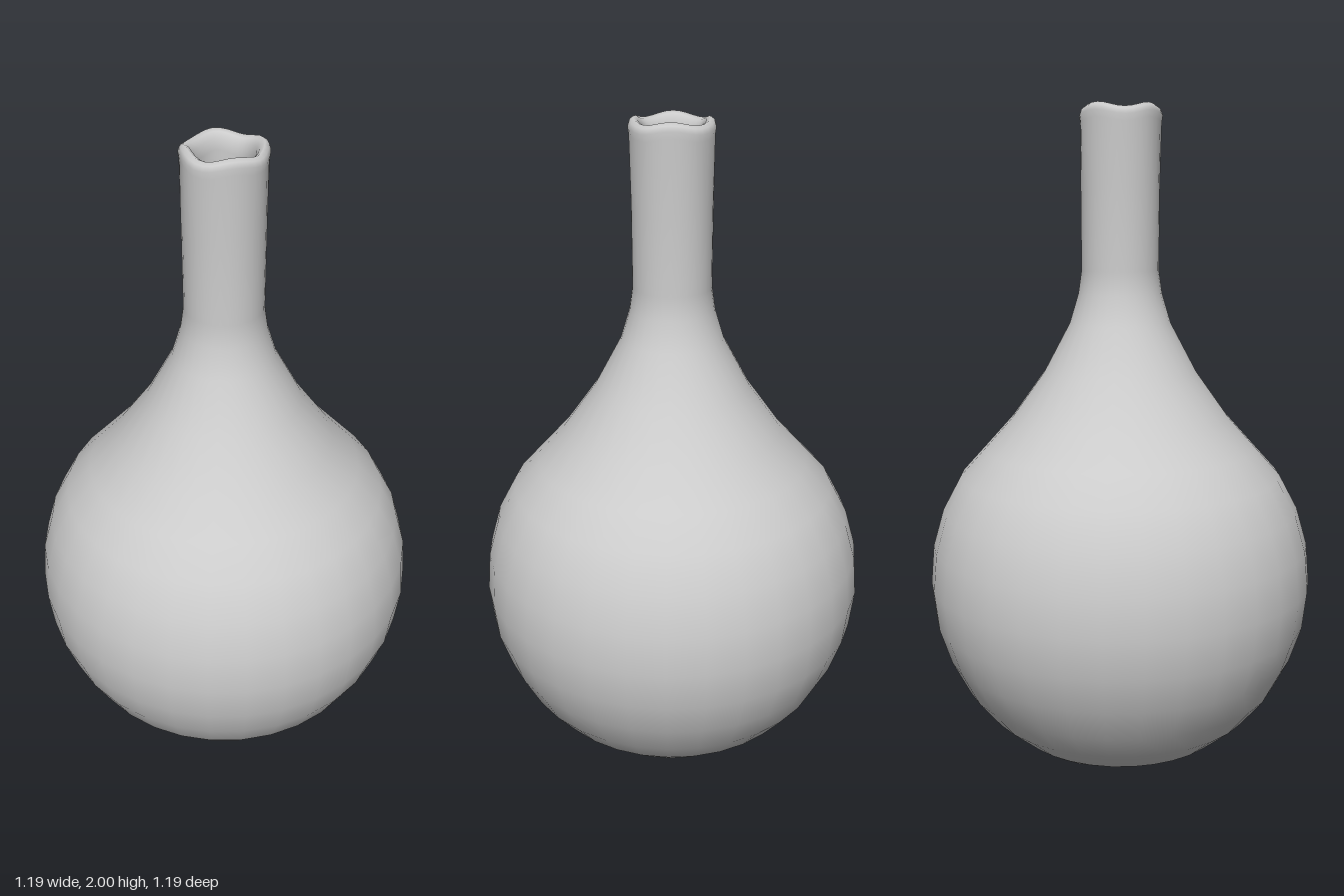
import * as THREE from 'three';

// [radius, height] from the centre of the base up to the lip
const outer = [
  [0, 0.02], [0.12, 0.016], [0.22, 0.012], [0.28, 0.025], [0.33, 0.045], [0.42, 0.12], [0.49, 0.205],
  [0.545, 0.31], [0.582, 0.42], [0.596, 0.54], [0.586, 0.66], [0.553, 0.775],
  [0.497, 0.88], [0.42, 0.965], [0.335, 1.06], [0.235, 1.2], [0.155, 1.35],
  [0.128, 1.44], [0.118, 1.51], [0.119, 1.75], [0.121, 1.95],
];
const lip = [[0.124, 1.97], [0.119, 1.985], [0.108, 1.993], [0.096, 1.987], [0.086, 1.97]];
// inner wall from the neck back down to the floor of the hollow
const inner = [
  [0.08, 1.94], [0.08, 1.5], [0.115, 1.36], [0.195, 1.2], [0.295, 1.05],
  [0.38, 0.95], [0.457, 0.86], [0.513, 0.76], [0.546, 0.65], [0.556, 0.54],
  [0.542, 0.43], [0.505, 0.32], [0.45, 0.22], [0.38, 0.14], [0.3, 0.085], [0.2, 0.06], [0, 0.06],
];

export function createModel() {
  const group = new THREE.Group();
  group.name = 'flask';

  const profile = [...outer, ...lip, ...inner].map(([r, y]) => new THREE.Vector2(r, y));
  const geometry = new THREE.LatheGeometry(profile, 32);

  // slightly uneven, hand-worked rim and base
  const pos = geometry.attributes.position;
  for (let i = 0; i < pos.count; i++) {
    const x = pos.getX(i), y = pos.getY(i), z = pos.getZ(i);
    const a = Math.atan2(z, x);
    if (y > 1.93) {
      const k = 1 + 0.025 * Math.sin(5 * a + 1);
      pos.setXYZ(i, x * k, y + 0.007 * Math.sin(4 * a), z * k);
    } else if (y < 0.03 && Math.hypot(x, z) > 0.1) {
      pos.setY(i, y + 0.006 * Math.sin(3 * a) - 0.006);
    }
  }

  const body = new THREE.Mesh(geometry, new THREE.MeshStandardMaterial({ color: 0xcccccc }));
  body.name = 'flaskBody';
  group.add(body);
  return group;
}
